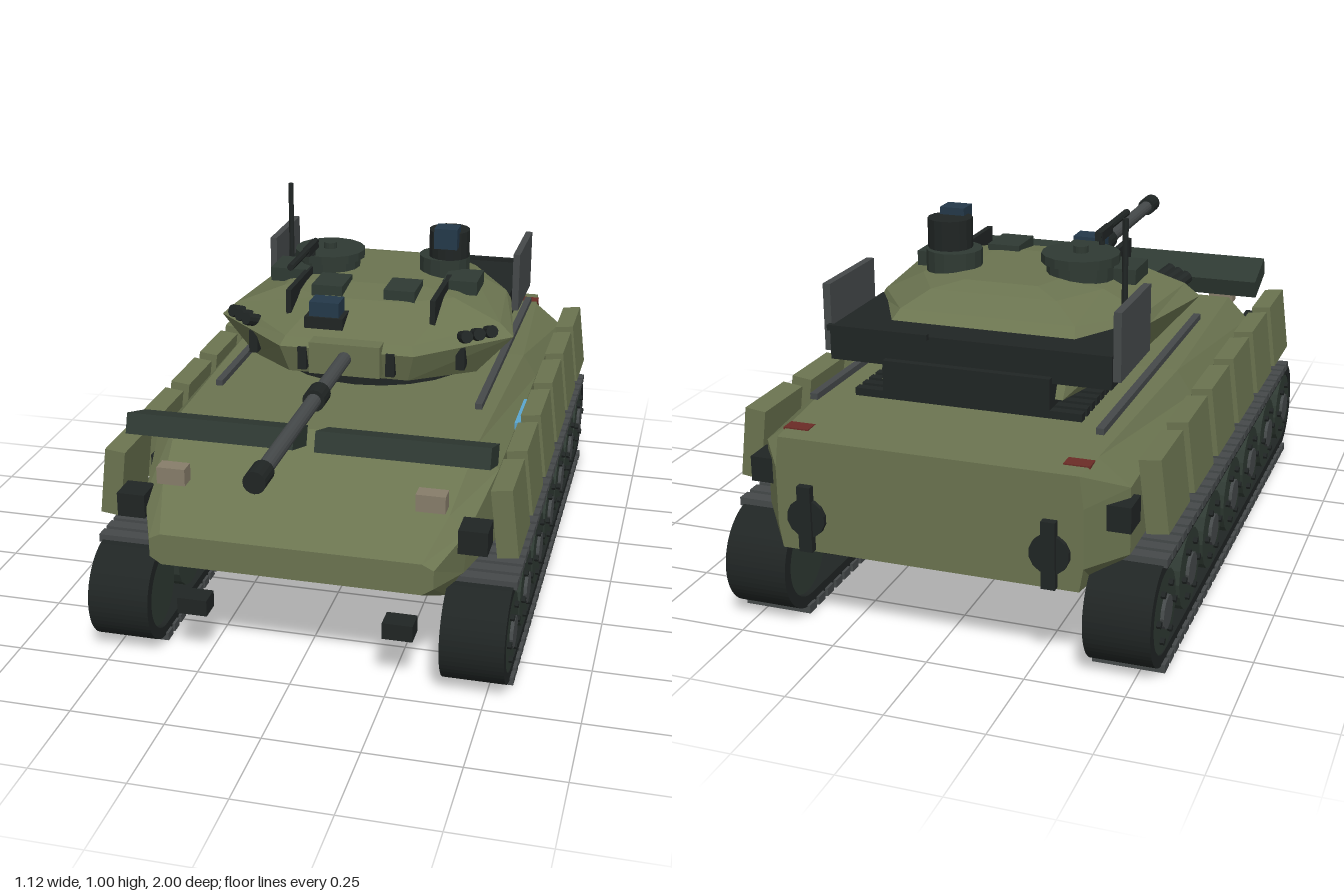
import * as THREE from 'three';

const mat = (color) => new THREE.MeshStandardMaterial({ color, flatShading: true });
const green = mat(0x6b7450), dark = mat(0x2f3a33), black = mat(0x202524), grey = mat(0x45494a),
  glass = mat(0x24394a), blue = mat(0x5aa6cf), lamp = mat(0x877d6a), red = mat(0x6b2c26);

export function createModel() {
  const model = new THREE.Group();
  model.name = 'trackedVehicle';

  function add(name, geometry, material, x = 0, y = 0, z = 0, parent = model) {
    const mesh = new THREE.Mesh(geometry, material);
    mesh.name = name;
    mesh.position.set(x, y, z);
    parent.add(mesh);
    return mesh;
  }
  const box = (name, m, w, h, d, x, y, z, parent) =>
    add(name, new THREE.BoxGeometry(w, h, d), m, x, y, z, parent);
  const cyl = (name, m, r, h, x, y, z, axis = 'y', sides = 16, parent = model) => {
    const g = new THREE.CylinderGeometry(r, r, h, sides);
    if (axis === 'x') g.rotateZ(Math.PI / 2);
    if (axis === 'z') g.rotateX(Math.PI / 2);
    return add(name, g, m, x, y, z, parent);
  };

  // Closed faceted solid joining rings of equal point count
  function loft(rings) {
    const tris = [], n = rings[0].length;
    for (let r = 0; r + 1 < rings.length; r++) {
      for (let i = 0; i < n; i++) {
        const j = (i + 1) % n, a = rings[r], b = rings[r + 1];
        tris.push([a[i], a[j], b[j]], [a[i], b[j], b[i]]);
      }
    }
    const first = rings[0], last = rings[rings.length - 1];
    for (let i = 1; i + 1 < n; i++) {
      tris.push([first[0], first[i + 1], first[i]], [last[0], last[i], last[i + 1]]);
    }
    // Turn the faces outward when the enclosed volume is negative
    let volume = 0;
    for (const [a, b, c] of tris) {
      volume += new THREE.Vector3(...a).dot(new THREE.Vector3(...b).cross(new THREE.Vector3(...c)));
    }
    if (volume < 0) tris.forEach((t) => t.reverse());
    const g = new THREE.BufferGeometry();
    g.setAttribute('position', new THREE.Float32BufferAttribute(tris.flat(2), 3));
    g.computeVertexNormals();
    return g;
  }
  // Full symmetric ring from its +x half
  const mirrored = (half) => [...half, ...half.map(([x, y, z]) => [-x, y, z]).reverse()];

  // Hull: z, then bottom, lower side, upper side and deck corners as x, y
  const hullSections = [
    [-0.98, 0.38, 0.24, 0.39, 0.30, 0.39, 0.45, 0.38, 0.53],
    [-0.87, 0.38, 0.22, 0.47, 0.30, 0.47, 0.47, 0.39, 0.535],
    [-0.30, 0.38, 0.22, 0.47, 0.30, 0.47, 0.50, 0.43, 0.562],
    [0.39, 0.38, 0.22, 0.47, 0.30, 0.47, 0.50, 0.41, 0.562],
    [0.60, 0.38, 0.23, 0.42, 0.30, 0.43, 0.42, 0.38, 0.455],
    [0.74, 0.34, 0.30, 0.37, 0.32, 0.37, 0.37, 0.34, 0.385],
  ];
  add('hull', loft(hullSections.map(([z, ...p]) =>
    mirrored([0, 2, 4, 6].map((k) => [p[k], p[k + 1], z])))), green);

  // Turret: rings from bottom to roof
  const turretRings = [
    [[0.17, 0.62, 0.13], [0.33, 0.595, -0.05], [0.32, 0.59, -0.38], [0.24, 0.59, -0.68]],
    [[0.19, 0.70, 0.155], [0.43, 0.70, -0.07], [0.375, 0.71, -0.38], [0.25, 0.71, -0.62]],
    [[0.18, 0.722, 0.13], [0.39, 0.735, -0.08], [0.36, 0.735, -0.38], [0.235, 0.745, -0.57]],
    [[0.12, 0.79, -0.03], [0.25, 0.79, -0.11], [0.25, 0.79, -0.38], [0.17, 0.79, -0.52]],
    [[0.07, 0.805, -0.14], [0.13, 0.805, -0.17], [0.13, 0.805, -0.38], [0.10, 0.805, -0.46]],
  ];
  add('turret', loft(turretRings.map(mirrored)), green);
  cyl('turretRing', black, 0.3, 0.06, 0, 0.575, -0.25, 'y', 24);
  box('mantlet', green, 0.2, 0.09, 0.07, 0, 0.68, 0.14);

  // Gun
  cyl('gunBarrel', grey, 0.02, 0.85, 0, 0.685, 0.53, 'z');
  cyl('gunSleeve', black, 0.03, 0.06, 0, 0.685, 0.46, 'z');
  cyl('muzzle', black, 0.028, 0.07, 0, 0.685, 0.965, 'z');

  // Stowage behind the turret and engine grille
  box('stowageBin', black, 0.74, 0.085, 0.32, 0, 0.68, -0.54);
  box('stowageBase', black, 0.44, 0.08, 0.14, 0, 0.615, -0.65);
  box('stowageRail', black, 0.27, 0.015, 0.015, 0.235, 0.725, -0.71);
  for (let i = 0; i < 6; i++) box('grilleSlat', black, 0.6, 0.02, 0.025, 0, 0.562, -0.5 - i * 0.04);

  // Commander hatch and machine gun
  cyl('hatchBase', dark, 0.09, 0.06, -0.16, 0.81, -0.29);
  cyl('hatchLid', dark, 0.104, 0.024, -0.16, 0.845, -0.29);
  cyl('hatchKnob', dark, 0.02, 0.02, -0.16, 0.865, -0.29);
  cyl('machineGunMount', black, 0.008, 0.05, -0.19, 0.868, -0.2);
  cyl('machineGun', black, 0.01, 0.27, -0.19, 0.89, -0.1, 'z', 8);
  box('machineGunBody', black, 0.02, 0.025, 0.1, -0.19, 0.885, -0.18);
  box('hatchBlock', dark, 0.11, 0.04, 0.12, -0.255, 0.80, -0.23);
  box('hatchRail', black, 0.015, 0.07, 0.25, -0.2, 0.785, -0.1);

  // Panoramic sight
  cyl('sightBase', dark, 0.075, 0.06, 0.18, 0.82, -0.33);
  cyl('sightDrum', black, 0.06, 0.08, 0.195, 0.89, -0.32);
  box('sightWindow', glass, 0.068, 0.06, 0.06, 0.198, 0.92, -0.27);
  box('sightBlock', dark, 0.1, 0.04, 0.12, 0.255, 0.80, -0.23);
  box('sightRail', black, 0.015, 0.07, 0.25, 0.215, 0.785, -0.1);

  // Gunner sight, roof blocks and antenna
  box('gunnerSightBase', black, 0.11, 0.04, 0.09, -0.08, 0.75, 0.05);
  box('gunnerSight', glass, 0.085, 0.05, 0.065, -0.08, 0.787, 0.055);
  for (const s of [-1, 1]) box('roofBlock', dark, 0.09, 0.05, 0.12, s * 0.105, 0.795, -0.10);
  cyl('antenna', black, 0.008, 0.27, -0.33, 0.865, -0.46, 'y', 8);

  // Running gear shapes shared by both sides
  const stadium = (path, r) => {
    path.absarc(0.604, 0.15, r, -Math.PI / 2, Math.PI / 2, false);
    path.absarc(-0.84, 0.15, r, Math.PI / 2, Math.PI * 1.5, false);
    path.closePath();
    return path;
  };
  const beltShape = stadium(new THREE.Shape(), 0.135);
  beltShape.holes.push(stadium(new THREE.Path(), 0.105));
  const beltGeo = new THREE.ExtrudeGeometry(beltShape, { depth: 0.165, bevelEnabled: false, curveSegments: 14 });
  beltGeo.rotateY(-Math.PI / 2);

  for (const s of [-1, 1]) {
    const side = new THREE.Group();
    side.name = s > 0 ? 'leftSide' : 'rightSide';
    model.add(side);

    // Track belt and pads
    add('trackBelt', beltGeo, black, s * 0.468 + 0.0825, 0, 0, side);
    for (let i = 0; i < 30; i++) {
      const z = 0.6 - i * 0.05;
      box('trackPad', grey, 0.182, 0.022, 0.036, s * 0.469, 0.011, z, side);
      box('trackPad', grey, 0.182, 0.022, 0.036, s * 0.469, 0.288, z, side);
    }

    // Road wheels with hubs and bolts
    for (let i = 0; i < 7; i++) {
      const z = 0.604 - i * 0.2407;
      cyl('roadWheel', dark, 0.104, 0.15, s * 0.474, 0.15, z, 'x', 18, side);
      cyl('wheelHub', grey, 0.042, 0.012, s * 0.552, 0.15, z, 'x', 12, side);
      for (let b = 0; b < 6; b++) {
        const a = (b / 6) * Math.PI * 2;
        cyl('wheelBolt', black, 0.009, 0.014, s * 0.553, 0.15 + Math.sin(a) * 0.07,
          z + Math.cos(a) * 0.07, 'x', 6, side);
      }
    }

    // Tilted skirt panels and their brackets
    for (let i = 0; i < 6; i++) {
      const panel = box('skirtPanel', green, 0.055, 0.185, 0.2, s * 0.52, 0.445, 0.497 - i * 0.25, side);
      panel.rotation.z = s * 0.12;
    }
    for (let i = 0; i < 7; i++) {
      box('skirtBracket', black, 0.075, 0.065, 0.08, s * 0.45, 0.412, 0.613 - i * 0.25, side);
    }

    // Front armour bar, lamps and tow blocks
    const bar = box('frontBar', dark, 0.45, 0.055, 0.135, s * 0.253, 0.593, 0.52, side);
    bar.rotation.x = -0.32;
    box('headlight', lamp, 0.076, 0.046, 0.045, s * 0.34, 0.503, 0.622, side);
    box('towBlock', black, 0.08, 0.045, 0.06, s * 0.273, 0.167, 0.68, side);

    // Rear fittings
    box('tailLight', red, 0.065, 0.035, 0.04, s * 0.357, 0.518, -0.91, side);
    box('rearLatch', black, 0.035, 0.17, 0.025, s * 0.31, 0.33, -0.987, side);
    cyl('rearCap', black, 0.05, 0.02, s * 0.31, 0.33, -0.982, 'z', 14, side);

    // Deck rods, turret side plates, smoke tubes and cheek ribs
    box('deckRod', grey, 0.02, 0.016, 0.95, s * 0.372, 0.57, -0.325, side);
    box('sidePlate', grey, 0.02, 0.175, 0.26, s * 0.38, 0.743, -0.56, side);
    for (let i = 0; i < 3; i++) {
      const tube = cyl('smokeTube', black, 0.018, 0.08, s * (0.3 + i * 0.03), 0.72, 0.02 - i * 0.03, 'z', 10, side);
      tube.rotation.set(-0.4, s * 0.5, 0);
    }
    box('cheekRib', black, 0.025, 0.065, 0.04, s * 0.125, 0.67, 0.14, side);
    box('cheekRib', black, 0.025, 0.065, 0.04, s * 0.3, 0.665, 0.03, side);
  }

  // Side marker strip
  box('sideMarker', blue, 0.015, 0.08, 0.18, 0.476, 0.48, 0.03);

  return model;
}
